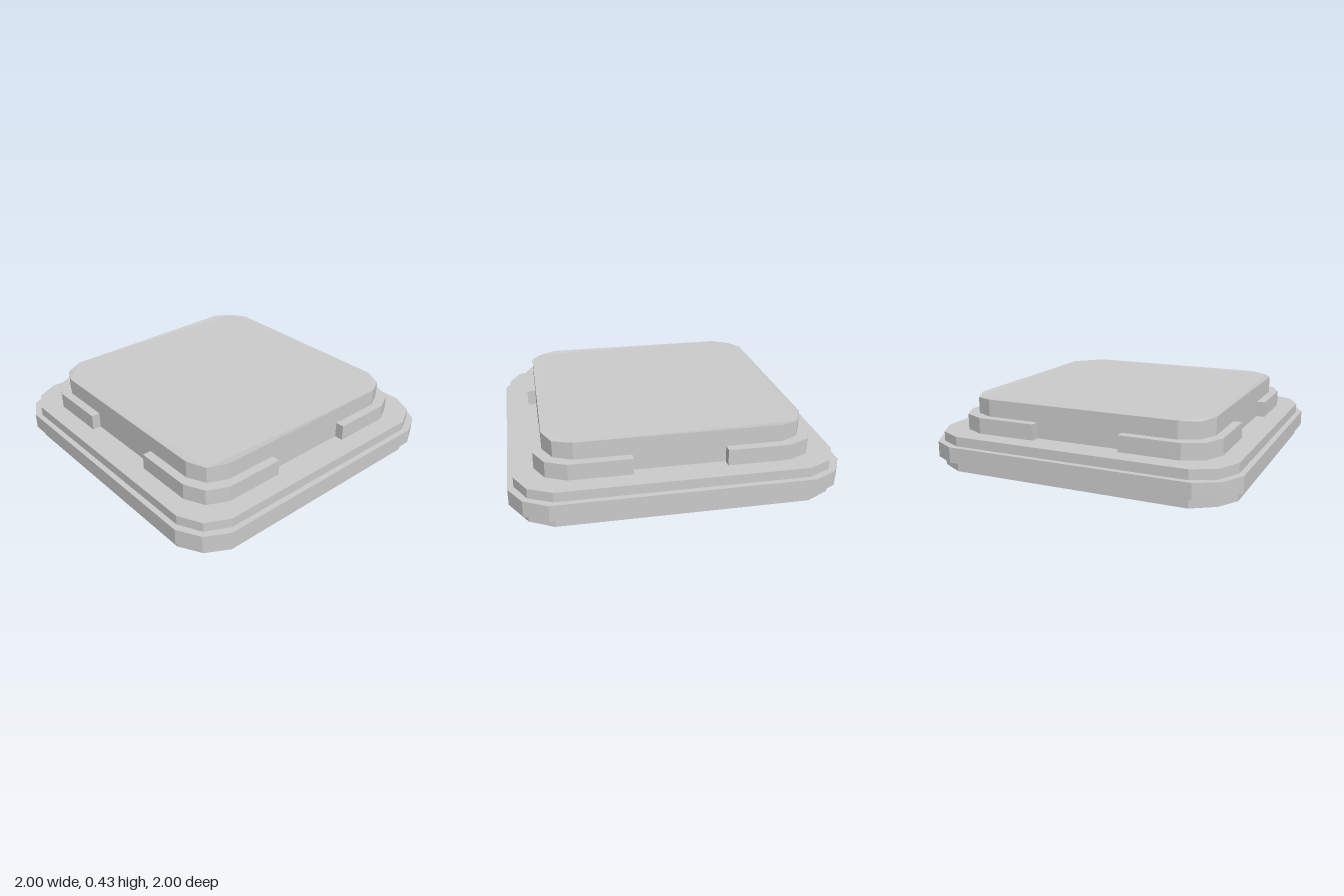
import * as THREE from 'three';

const material = new THREE.MeshStandardMaterial({ color: 0xcccccc, flatShading: true });

// Outline of a square with two-facet corners: r half width, a start of the corner, c its middle
function corneredPoints(r, a, c) {
  const quarter = [[r, -a], [r, a], [c, c]];
  const points = [];
  for (let i = 0; i < 4; i++) {
    for (const [x, y] of quarter) {
      const p = new THREE.Vector2(x, y).rotateAround(new THREE.Vector2(), i * Math.PI / 2);
      points.push(p);
    }
  }
  return points;
}

// Stands an extruded shape upright between two heights
function slab(name, shape, y0, y1) {
  const geometry = new THREE.ExtrudeGeometry(shape, { depth: y1 - y0, bevelEnabled: false });
  geometry.rotateX(-Math.PI / 2).translate(0, y0, 0);
  const mesh = new THREE.Mesh(geometry, material);
  mesh.name = name;
  return mesh;
}

// Pulls the middle vertex of each corner at height y by a small step
function easeCorners(mesh, y, step) {
  const pos = mesh.geometry.attributes.position;
  for (let i = 0; i < pos.count; i++) {
    const onDiagonal = Math.abs(Math.abs(pos.getX(i)) - Math.abs(pos.getZ(i))) < 0.01;
    if (onDiagonal && Math.abs(pos.getY(i) - y) < 0.001) pos.setY(i, y + step);
  }
  mesh.geometry.computeVertexNormals();
}

export function createModel() {
  const group = new THREE.Group();
  group.name = 'steppedPlate';

  // Base plate
  const basePoints = corneredPoints(0.965, 0.75, 0.893);
  const base = slab('basePlate', new THREE.Shape(basePoints), 0, 0.22);
  easeCorners(base, 0, 0.007);
  group.add(base);

  // Rim band around the base
  const rimShape = new THREE.Shape(corneredPoints(1, 0.78, 0.922));
  rimShape.holes.push(new THREE.Path(basePoints));
  group.add(slab('rimBand', rimShape, 0.062, 0.16));

  // Raised cap
  const cap = slab('cap', new THREE.Shape(corneredPoints(0.79, 0.62, 0.735)), 0.22, 0.428);
  easeCorners(cap, 0.428, -0.007);
  group.add(cap);

  // Corner brackets hugging the cap
  const bracketShape = new THREE.Shape([
    [0.845, 0.28], [0.845, 0.66], [0.785, 0.785], [0.66, 0.845], [0.28, 0.845],
    [0.28, 0.785], [0.62, 0.785], [0.73, 0.73], [0.785, 0.62], [0.785, 0.28],
  ].map(([x, y]) => new THREE.Vector2(x, y)));
  for (let i = 0; i < 4; i++) {
    const bracket = slab('cornerBracket' + (i + 1), bracketShape, 0.22, 0.32);
    bracket.rotation.y = i * Math.PI / 2;
    group.add(bracket);
  }

  return group;
}
